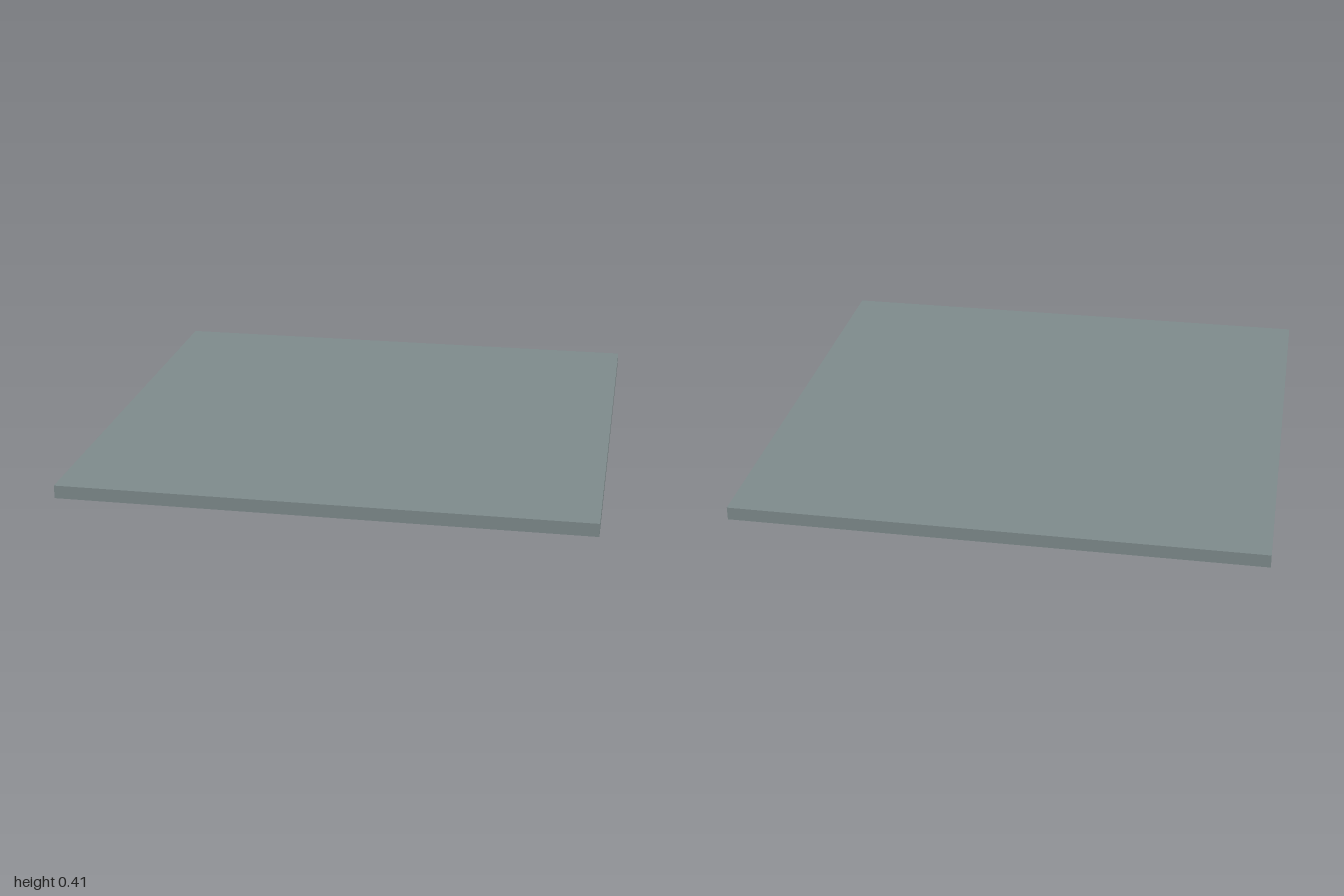
import * as THREE from 'three';

const U = 2 / 39; // one modular unit

export function createModel() {
  const model = new THREE.Group();
  const stone = new THREE.MeshStandardMaterial({ color: 0x7f8c8d });
  stone.name = 'grey stone';

  // Upright prism from an [x, z] outline given in units
  const prism = (name, outline, y0, y1) => {
    const shape = new THREE.Shape(outline.map(([x, z]) => new THREE.Vector2(x * U, -z * U)));
    const geo = new THREE.ExtrudeGeometry(shape, { depth: (y1 - y0) * U, bevelEnabled: false });
    geo.rotateX(-Math.PI / 2).translate(0, y0 * U, 0);
    const mesh = new THREE.Mesh(geo, stone);
    mesh.name = name;
    model.add(mesh);
  };

  // Foot: rectangle with its four corners notched
  prism('foot', [
    [-1.5, 3], [1.5, 3], [1.5, 2], [2.5, 2], [2.5, -2], [1.5, -2],
    [1.5, -3], [-1.5, -3], [-1.5, -2], [-2.5, -2], [-2.5, 2], [-1.5, 2],
  ], 0, 1);

  // Column: two notched corners on the left side, a groove on the right side
  prism('column', [
    [-1.5, 2], [0.5, 2], [0.5, 1], [1.5, 1], [1.5, -1], [0.5, -1], [0.5, -2],
    [-1.5, -2], [-1.5, -1], [-0.5, -1], [-0.5, 0], [-1.5, 0],
  ], 1, 7.1);

  // Wide flat top
  prism('tableTop', [[-19.5, 18.95], [19.5, 18.95], [19.5, -18.95], [-19.5, -18.95]], 7.1, 8.08);

  return model;
}
